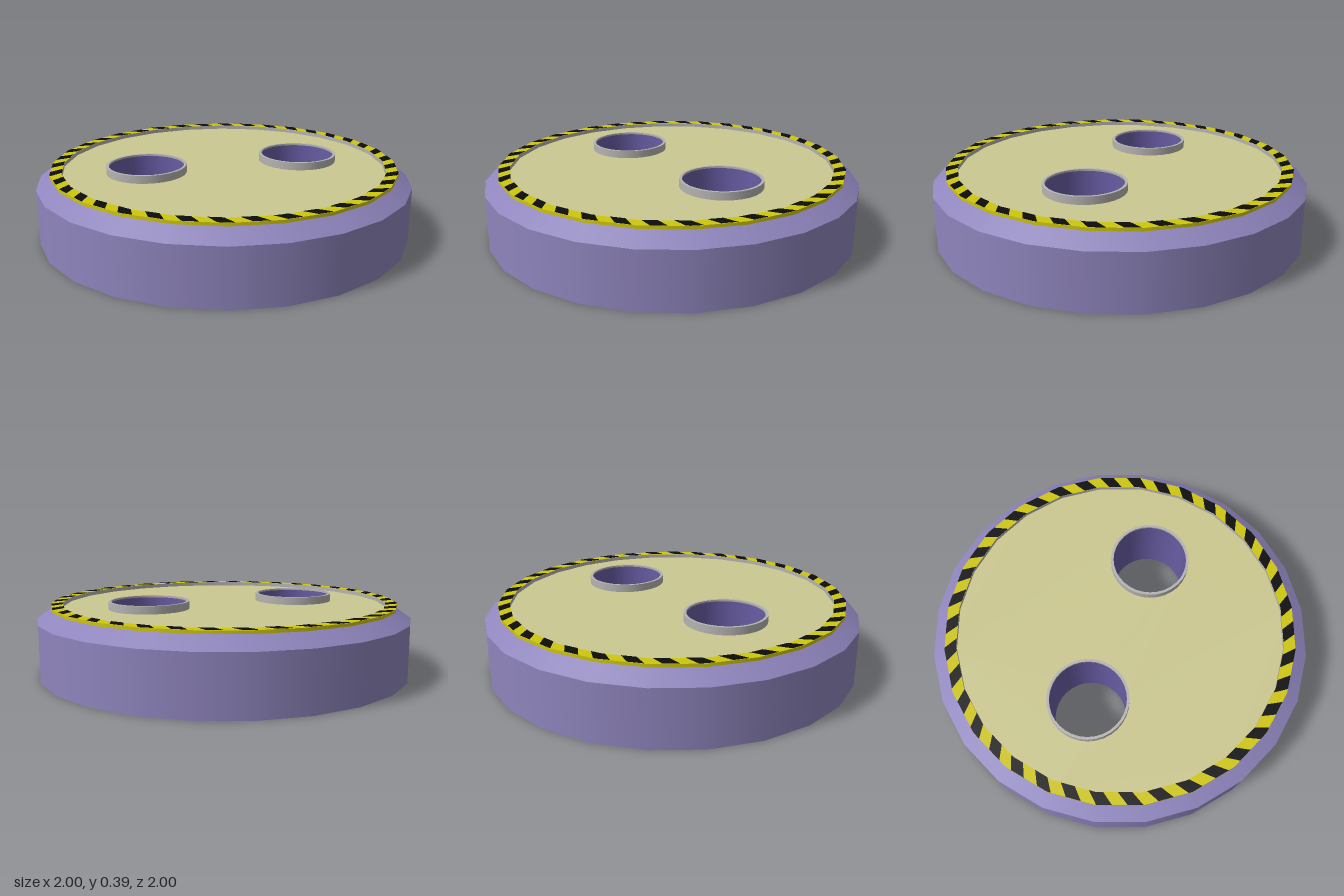
import * as THREE from 'three';

const SIDES = 24, HOLE_X = 0.425, HOLE_R = 0.198, TOP = 0.372, FLOOR = 0.351;

const paint = (name, color) => {
  const m = new THREE.MeshStandardMaterial({ color });
  m.name = name;
  return m;
};

export function createModel() {
  const purple = paint('casing purple', 0x8f85bd);
  const violet = paint('bore violet', 0x675ca3);
  const khaki = paint('deck khaki', 0xcbc890);
  const yellow = paint('hazard yellow', 0xcec60e);
  const black = paint('hazard black', 0x0c0c0c);
  const grey = paint('rim grey', 0xb6b4b2);

  const group = new THREE.Group();
  const add = (name, geometry, material, x = 0, y = 0) => {
    const mesh = new THREE.Mesh(geometry, material);
    mesh.name = name;
    mesh.position.set(x, y, 0);
    group.add(mesh);
  };
  // One revolved strip from (r0, y0) to (r1, y1); separate strips keep edges sharp
  const band = (name, material, r0, y0, r1, y1, sides = SIDES, x = 0) =>
    add(name, new THREE.LatheGeometry(
      [new THREE.Vector2(r0, y0), new THREE.Vector2(r1, y1)], sides), material, x);

  // Polygonal disc pierced by the two bores
  const disc = (radius, tilt) => {
    const pts = [];
    for (let i = 0; i < SIDES; i++) {
      const a = (i / SIDES) * Math.PI * 2;
      pts.push(new THREE.Vector2(Math.cos(a) * radius, Math.sin(a) * radius));
    }
    const shape = new THREE.Shape(pts);
    for (const s of [-1, 1]) {
      shape.holes.push(new THREE.Path().absarc(s * HOLE_X, 0, HOLE_R, 0, Math.PI * 2, true));
    }
    return new THREE.ShapeGeometry(shape, 32).rotateX(tilt);
  };

  // Casing
  band('casingSide', purple, 1, 0, 1, 0.295);
  band('casingChamfer', purple, 1, 0.295, 0.912, 0.355);
  add('casingBottom', disc(1, Math.PI / 2), purple);
  add('deck', disc(0.91, -Math.PI / 2), khaki, 0, FLOOR);

  // Raised hazard ring
  band('ringUnderside', yellow, 0.9, 0.356, 0.927, 0.356);
  band('ringOuterWall', yellow, 0.927, 0.356, 0.927, TOP);
  band('ringTop', yellow, 0.927, TOP, 0.866, TOP);
  band('ringInnerWall', grey, 0.866, TOP, 0.866, FLOOR);

  // Slanted black stripes that follow the polygon of the ring
  const STRIPES = 38, STEPS = 4, pitch = (Math.PI * 2) / STRIPES;
  const facet = (Math.PI * 2) / SIDES, slant = 0.026;
  const rim = (R, a) => {
    const t = ((a % facet) + facet) % facet;
    const r = (R * Math.cos(facet / 2)) / Math.cos(t - facet / 2);
    return [Math.sin(a) * r, TOP + 0.0015, -Math.cos(a) * r];
  };
  const pos = [];
  for (let i = 0; i < STRIPES; i++) {
    const start = i * pitch - 0.035 - pitch / 4;
    for (let k = 0; k < STEPS; k++) {
      const a = start + (k / STEPS) * pitch / 2, b = a + pitch / 2 / STEPS;
      const o0 = rim(0.927, a - slant), o1 = rim(0.927, b - slant);
      const i0 = rim(0.866, a + slant), i1 = rim(0.866, b + slant);
      pos.push(...o0, ...i0, ...i1, ...o0, ...i1, ...o1);
    }
  }
  const stripes = new THREE.BufferGeometry();
  stripes.setAttribute('position', new THREE.Float32BufferAttribute(pos, 3));
  stripes.computeVertexNormals();
  add('hazardStripes', stripes, black);

  // Two through bores with thin collars
  for (const s of [-1, 1]) {
    const x = s * HOLE_X, side = s > 0 ? 'left' : 'right';
    band(side + 'CollarWall', grey, 0.212, FLOOR, 0.212, 0.392, 32, x);
    band(side + 'CollarTop', grey, 0.212, 0.392, HOLE_R, 0.392, 32, x);
    band(side + 'CollarInside', grey, HOLE_R, 0.392, HOLE_R, 0.382, 32, x);
    band(side + 'Bore', violet, HOLE_R, 0.382, HOLE_R, 0, 32, x);
  }
  return group;
}
